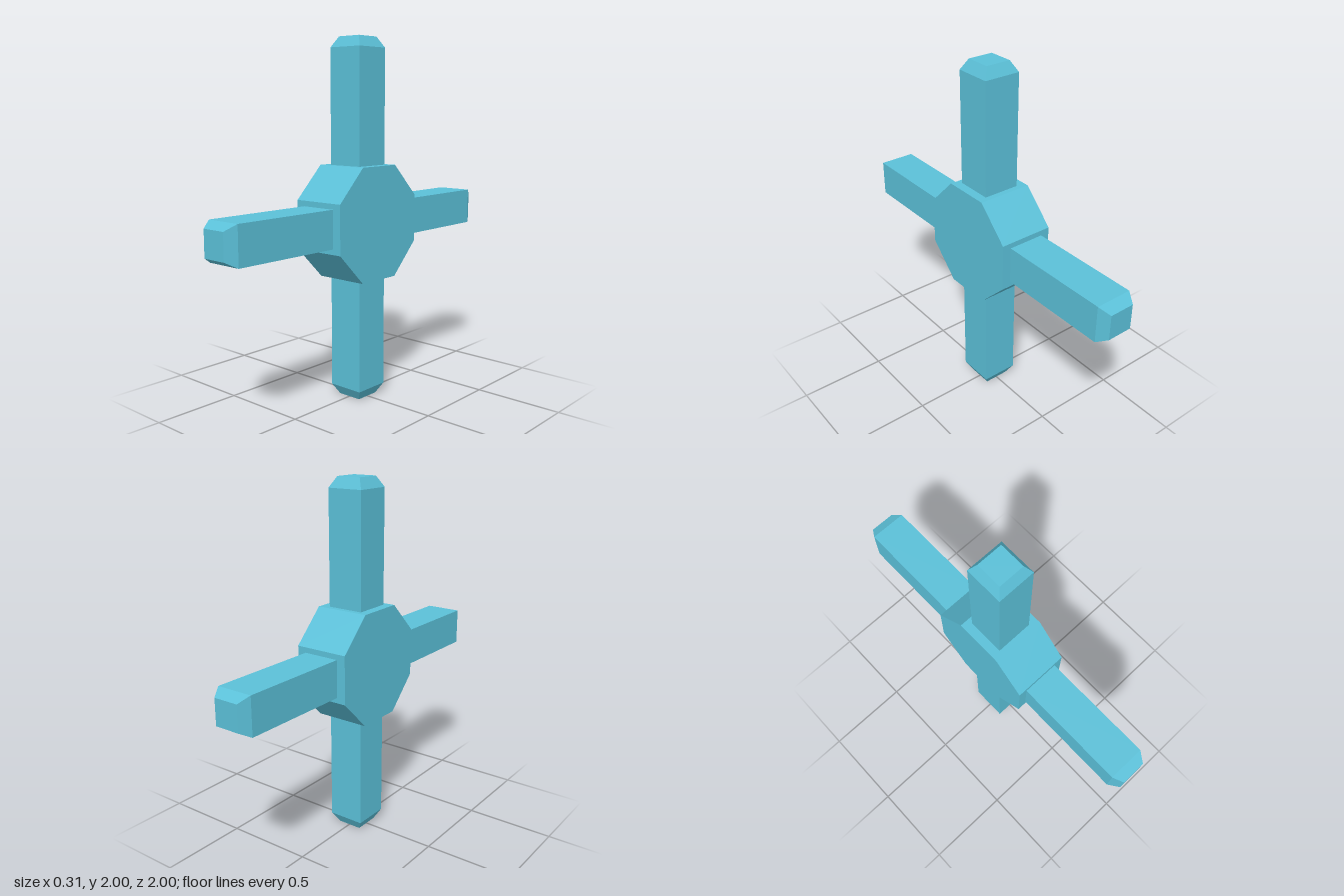
import * as THREE from 'three';

const material = new THREE.MeshStandardMaterial({ color: 0x5bc0d8, flatShading: true });

// Eight-sided hub plate, its flat faces looking along x
function makeHub() {
  const r = 0.312, c = 0.134, depth = 0.31;
  const outline = [[r, -c], [r, c], [c, r], [-c, r], [-r, c], [-r, -c], [-c, -r], [c, -r]];
  const shape = new THREE.Shape(outline.map(([x, y]) => new THREE.Vector2(x, y)));
  const geometry = new THREE.ExtrudeGeometry(shape, { depth, bevelEnabled: false });
  geometry.translate(0, 0, -depth / 2).rotateY(Math.PI / 2);
  const hub = new THREE.Mesh(geometry, material);
  hub.name = 'hub';
  return hub;
}

// Square bar along +y with a bevelled tip: a four-sided lathe
function makeArmGeometry() {
  const half = 0.104, tip = 0.071;
  const profile = [[half, 0.31], [half, 0.942], [tip, 1], [0, 1]]
    .map(([h, y]) => new THREE.Vector2(h * Math.SQRT2, y));
  const geometry = new THREE.LatheGeometry(profile, 4, Math.PI / 4).toNonIndexed();
  geometry.computeVertexNormals();
  return geometry;
}

export function createModel() {
  const model = new THREE.Group();
  model.name = 'crossModel';

  const cross = new THREE.Group();
  cross.name = 'cross';
  cross.position.y = 1;
  cross.add(makeHub());

  // Four arms, a quarter turn apart about x
  const armGeometry = makeArmGeometry();
  ['topArm', 'frontArm', 'bottomArm', 'backArm'].forEach((name, i) => {
    const arm = new THREE.Mesh(armGeometry, material);
    arm.name = name;
    arm.rotation.x = i * Math.PI / 2;
    cross.add(arm);
  });

  model.add(cross);
  return model;
}
